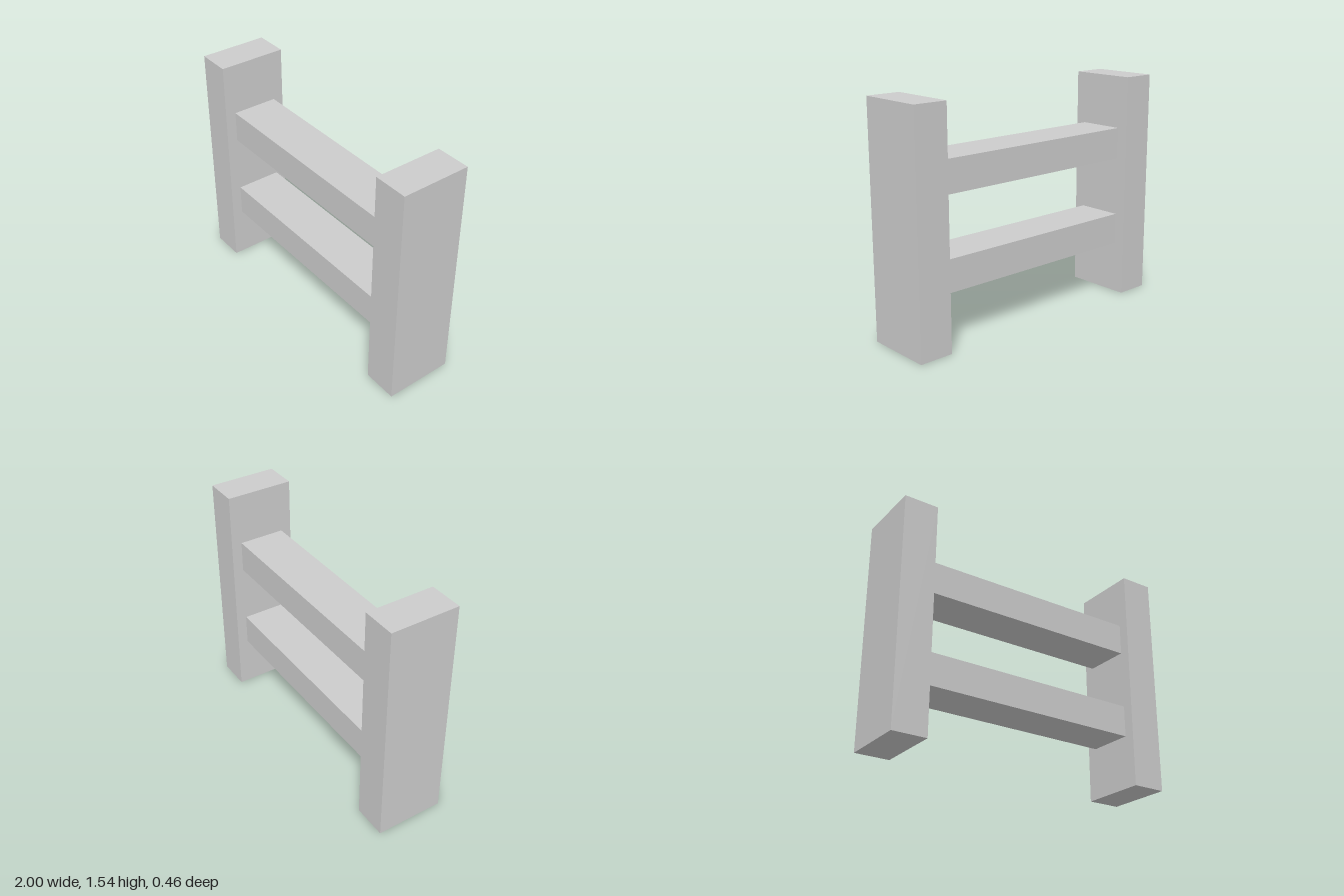
import * as THREE from 'three';

export function createModel() {
  const model = new THREE.Group();
  const material = new THREE.MeshStandardMaterial({ color: 0xcccccc, flatShading: true });

  const addBox = (name, width, height, depth, x, y) => {
    const mesh = new THREE.Mesh(new THREE.BoxGeometry(width, height, depth), material);
    mesh.name = name;
    mesh.position.set(x, y, 0);
    model.add(mesh);
  };

  // Upright posts at both ends
  const postWidth = 0.23, postHeight = 1.54, postDepth = 0.46;
  for (const [name, side] of [['leftPost', 1], ['rightPost', -1]]) {
    addBox(name, postWidth, postHeight, postDepth, side * (1 - postWidth / 2), postHeight / 2);
  }

  // Horizontal rails spanning between the inner post faces
  const railLength = 2 - 2 * postWidth;
  for (const [name, y] of [['lowerRail', 0.464], ['upperRail', 1.078]]) {
    addBox(name, railLength, 0.215, 0.315, 0, y);
  }

  return model;
}
